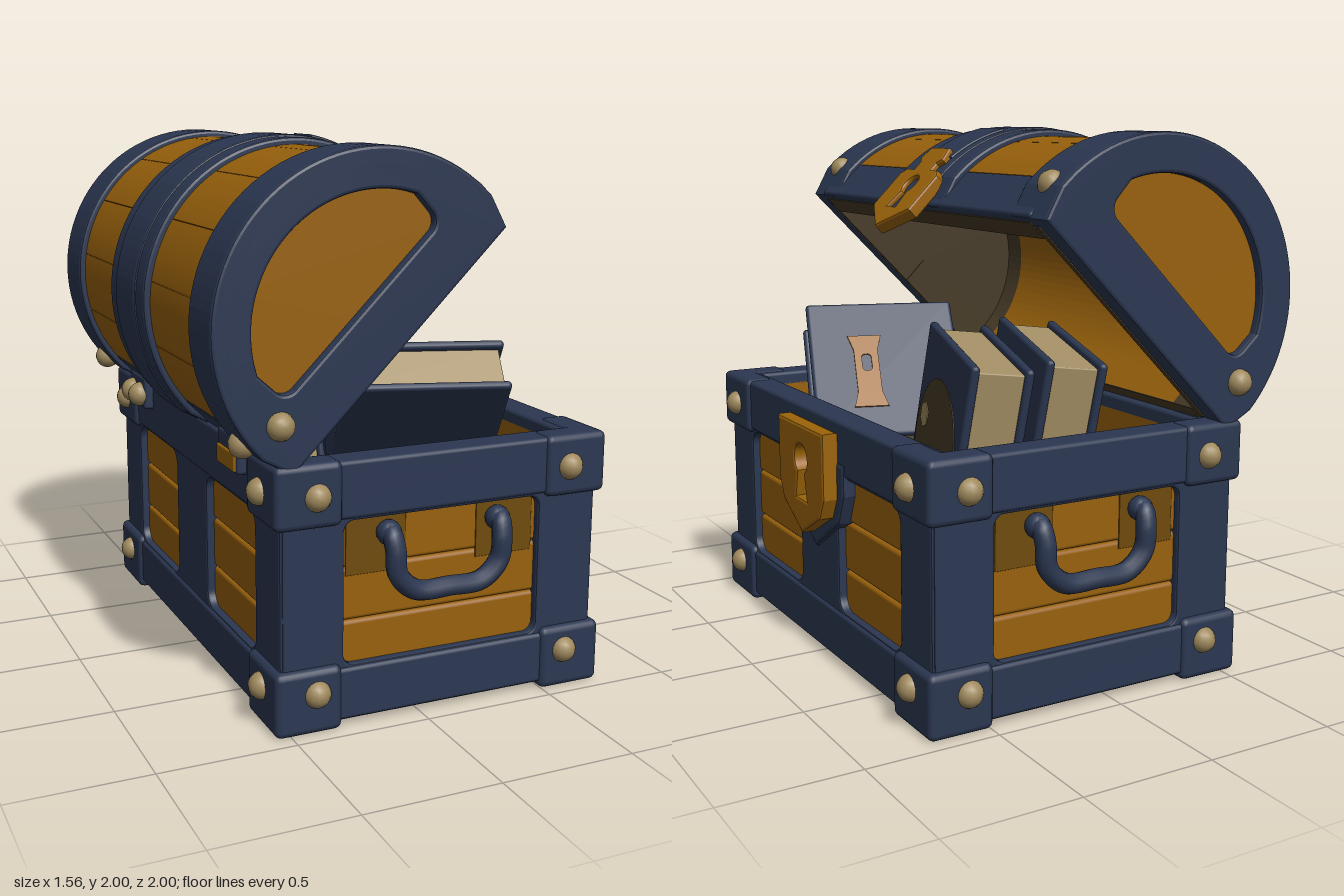
import * as THREE from 'three';
import { RoundedBoxGeometry } from 'three/addons/geometries/RoundedBoxGeometry.js';

const paint = (name, color) => {
  const m = new THREE.MeshStandardMaterial({ color });
  m.name = name;
  return m;
};

export function createModel() {
  const blue = paint('blue metal', 0x2b3751), wood = paint('wood', 0x98610c);
  const gold = paint('gold lock', 0x9c6409), tan = paint('stud tan', 0x9f895d);
  const page = paint('paper', 0xa59066), stained = paint('stained wood', 0x6f4b0d);
  const dusky = paint('dusky brown', 0x463a27);

  const add = (parent, name, geo, mat, x = 0, y = 0, z = 0) => {
    const m = new THREE.Mesh(geo, mat);
    m.name = name;
    m.position.set(x, y, z);
    parent.add(m);
    return m;
  };
  const group = (parent, name) => {
    const g = new THREE.Group();
    g.name = name;
    parent.add(g);
    return g;
  };
  // rounded box given by its min and max corners
  const box = (parent, name, mat, x0, x1, y0, y1, z0, z1, r = 0.015) =>
    add(parent, name, new RoundedBoxGeometry(x1 - x0, y1 - y0, z1 - z0, 2, r), mat,
      (x0 + x1) / 2, (y0 + y1) / 2, (z0 + z1) / 2);
  const extrude = (shape, depth, bevel = 0) => new THREE.ExtrudeGeometry(shape, {
    depth: depth - 2 * bevel, bevelEnabled: bevel > 0, bevelSize: bevel, bevelOffset: -bevel,
    bevelThickness: bevel, bevelSegments: 2, curveSegments: 24 }).translate(0, 0, bevel);
  const stud = (parent, x, y, z) => add(parent, 'stud', new THREE.SphereGeometry(0.05, 14, 10), tan, x, y, z);
  const roundRect = (x0, x1, y0, y1, r) => {
    const p = new THREE.Path();
    p.absarc(x1 - r, y0 + r, r, -Math.PI / 2, 0);
    p.absarc(x1 - r, y1 - r, r, 0, Math.PI / 2);
    p.absarc(x0 + r, y1 - r, r, Math.PI / 2, Math.PI);
    p.absarc(x0 + r, y0 + r, r, Math.PI, Math.PI * 1.5);
    p.closePath();
    return p;
  };
  const poly = (pts) => new THREE.Shape(pts.map(([x, y]) => new THREE.Vector2(x, y)));
  const keyhole = (y, s) => {
    const p = new THREE.Path();
    p.absarc(0, y, 0.056 * s, -1.1, Math.PI + 1.1);
    p.lineTo(-0.05 * s, y - 0.155 * s);
    p.lineTo(0.05 * s, y - 0.155 * s);
    p.closePath();
    return p;
  };
  const span = (k, a, b) => k > 0 ? [a, b] : [-b, -a];

  const model = group(new THREE.Group(), 'treasureChest');

  // ---- base ----
  const base = group(model, 'base');
  base.position.x = 0.09;
  box(base, 'underside', wood, -0.56, 0.56, 0.03, 0.09, -0.86, 0.86);
  box(base, 'floor', stained, -0.53, 0.53, 0.08, 0.12, -0.83, 0.83);
  add(base, 'floorPatch', new THREE.CylinderGeometry(0.2, 0.2, 0.008, 24), wood, 0.36, 0.122, 0);
  for (const s of [-1, 1]) {
    const wall = (name, mat, a, b, y0, y1, half) => box(base, name, mat, ...span(s, a, b), y0, y1, -half, half);
    const end = (name, mat, a, b, y0, y1, half) => box(base, name, mat, -half, half, y0, y1, ...span(s, a, b));
    // wall cores with planks in front
    wall('sideWall', stained, 0.535, 0.575, 0.05, 0.92, 0.88);
    end('endWall', stained, 0.835, 0.875, 0.05, 0.92, 0.57);
    wall('innerSideWall', wood, 0.515, 0.545, 0.05, 0.92, 0.84);
    end('innerEndWall', wood, 0.815, 0.845, 0.05, 0.92, 0.54);
    [[0.18, 0.37], [0.373, 0.563], [0.566, 0.77]].forEach(([a, b]) => {
      wall('sidePlank', wood, 0.555, 0.592, a, b, 0.85);
      end('endPlank', wood, 0.855, 0.895, a, b, 0.55);
    });
    // metal frames with rounded openings
    const long = poly([[-0.92, 0.02], [0.92, 0.02], [0.92, 0.95], [-0.92, 0.95]]);
    long.holes.push(roundRect(0.18, 0.69, 0.22, 0.74, 0.06), roundRect(-0.69, -0.18, 0.22, 0.74, 0.06));
    add(base, 'sideFrame', extrude(long, 0.05, 0.01), blue, s * 0.573, 0, 0).rotation.y = s * Math.PI / 2;
    const short = poly([[-0.615, 0.02], [0.615, 0.02], [0.615, 0.95], [-0.615, 0.95]]);
    short.holes.push(roundRect(-0.385, 0.385, 0.22, 0.74, 0.04));
    add(base, 'endFrame', extrude(short, 0.05, 0.01), blue, 0, 0, s * 0.875).rotation.y = s > 0 ? 0 : Math.PI;
    // rims
    for (const [y0, y1] of [[0.025, 0.215], [0.75, 0.955]]) {
      wall('sideRim', blue, 0.59, 0.633, y0, y1, 0.93);
      end('endRim', blue, 0.885, 0.937, y0, y1, 0.63);
    }
    wall('sideLedge', blue, 0.515, 0.632, 0.885, 0.955, 0.93);
    end('endLedge', blue, 0.815, 0.937, 0.885, 0.955, 0.62);
    wall('sideFoot', blue, 0.44, 0.62, 0.015, 0.06, 0.92);
    end('endFoot', blue, 0.74, 0.92, 0.015, 0.06, 0.61);
    // corner caps and studs
    for (const t of [-1, 1]) {
      for (const [y0, y1, ys] of [[0, 0.235, 0.145], [0.735, 0.962, 0.845]]) {
        const cap = group(base, 'cornerCap');
        box(cap, 'capSide', blue, ...span(s, 0.53, 0.648), y0, y1, ...span(t, 0.67, 0.952), 0.025);
        box(cap, 'capEnd', blue, ...span(s, 0.4, 0.648), y0, y1, ...span(t, 0.83, 0.952), 0.025);
        if (y0 === 0) box(cap, 'capFoot', blue, ...span(s, 0.4, 0.648), 0, 0.07, ...span(t, 0.67, 0.952), 0.025);
        stud(base, s * 0.642, ys, t * 0.8);
        stud(base, s * 0.495, ys, t * 0.942);
      }
    }
    // carrying handle with stained wood behind its mounts
    const path = new THREE.CatmullRomCurve3([[-0.215, 0.68, 0.88], [-0.215, 0.68, 0.94], [-0.21, 0.63, 0.962],
      [-0.2, 0.54, 0.962], [-0.13, 0.475, 0.962], [0, 0.47, 0.962], [0.13, 0.475, 0.962], [0.2, 0.54, 0.962],
      [0.21, 0.63, 0.962], [0.215, 0.68, 0.94], [0.215, 0.68, 0.88]].map(([x, y, z]) => new THREE.Vector3(x, y, s * z)));
    add(base, 'handle', new THREE.TubeGeometry(path, 60, 0.037, 10), blue);
    for (const t of [-1, 1]) {
      add(base, 'handleMount', new THREE.SphereGeometry(0.046, 12, 8), blue, t * 0.215, 0.68, s * 0.92);
      box(base, 'handleStain', stained, ...span(t, 0.14, 0.37), 0.535, 0.76, s * 0.896 - 0.003, s * 0.896 + 0.003, 0.002);
    }
    box(base, 'hinge', blue, -0.67, -0.62, 0.86, 1.0, s * 0.55 - 0.1, s * 0.55 + 0.1);
  }
  for (const t of [-0.6, -0.5]) stud(base, -0.675, 0.92, t);
  box(base, 'backCatch', gold, -0.678, -0.66, 0.87, 0.94, 0.46, 0.64, 0.008);
  box(base, 'bottomStrap', blue, -0.5, 0.5, 0.015, 0.06, -0.18, 0.18);

  // front lock on its shield
  const shield = (w, y0, y1, y2) => poly([[-w, y2], [-w, y1], [-w * 0.82, y1 - (y1 - y0) * 0.45], [0, y0],
    [w * 0.82, y1 - (y1 - y0) * 0.45], [w, y1], [w, y2]]);
  const lock = shield(0.215, 0.485, 0.66, 0.91);
  lock.holes.push(keyhole(0.775, 1));
  add(base, 'lockShield', extrude(shield(0.27, 0.425, 0.68, 0.8), 0.07, 0.015), blue, 0.57).rotation.y = Math.PI / 2;
  add(base, 'lockPlate', extrude(lock, 0.065, 0.012), gold, 0.63).rotation.y = Math.PI / 2;
  box(base, 'keyholeBack', blue, 0.634, 0.642, 0.58, 0.86, -0.09, 0.09, 0.002);

  // ---- lid, hinged open by 45 degrees ----
  const lid = group(model, 'lid');
  lid.position.set(-0.095, 1.32, 0);
  lid.rotation.z = Math.PI / 4;
  const C = 0.12;
  // outer outline of the lid section, slightly drawn in at the foot
  const dome = (ro) => {
    const s = new THREE.Shape();
    s.moveTo(ro - 0.035, 0);
    s.lineTo(ro, C);
    s.absarc(0, C, ro, 0, Math.PI);
    s.lineTo(-ro + 0.035, 0);
    return s;
  };
  const arch = (ro, ri) => {
    const s = dome(ro);
    s.lineTo(-ri, 0);
    s.absarc(0, C, ri, Math.PI, 0, true);
    s.lineTo(ri, 0);
    s.closePath();
    return s;
  };
  const sector = (ro, ri, a, b) => {
    const s = new THREE.Shape();
    s.absarc(0, C, ro, a, b);
    s.absarc(0, C, ri, b, a, true);
    s.closePath();
    return s;
  };
  const band = (name, mat, ro, ri, z0, z1, bevel = 0.012) =>
    add(lid, name, extrude(arch(ro, ri), z1 - z0, bevel), mat, 0, 0, z0);
  band('lidLining', wood, 0.54, 0.455, -0.72, 0.72, 0);
  band('middleBand', blue, 0.592, 0.52, -0.22, 0.22);
  band('middleBandRidge', blue, 0.6, 0.55, -0.125, 0.125);
  for (let i = 0; i < 7; i++)
    add(lid, 'lidPlank', extrude(sector(0.566, 0.52, 0.1 + i * 0.42, 0.516 + i * 0.42), 1.6, 0.005), wood, 0, 0, -0.8);
  for (const s of [-1, 1]) {
    box(lid, 'edgeRail', blue, ...span(s, 0.5, 0.566), 0, 0.18, -0.85, 0.85);
    box(lid, 'rimUnderside', dusky, ...span(s, 0.455, 0.535), -0.004, 0.002, -0.83, 0.83, 0.002);
    band('endBand', blue, 0.59, 0.52, ...span(s, 0.715, 0.945));
    band('duskyLining', dusky, 0.54, 0.455, ...span(s, 0.72, 0.85), 0);
    add(lid, 'duskyCorner', extrude(sector(0.458, 0.451, 1.2, 2.0), 0.18), dusky, 0, 0, s > 0 ? 0.55 : -0.73);
    // end face with a half-round wood panel
    const face = dome(0.583);
    face.closePath();
    const hole = new THREE.Path();
    hole.absarc(-0.345, 0.25, 0.05, Math.PI, Math.PI * 1.5);
    hole.absarc(0.345, 0.25, 0.05, -Math.PI / 2, 0);
    hole.absarc(0, C, 0.45, 0.48, Math.PI - 0.48);
    hole.closePath();
    face.holes.push(hole);
    add(lid, 'endFace', extrude(face, 0.09, 0.012), blue, 0, 0, s > 0 ? 0.855 : -0.945);
    const panel = sector(0.51, 0.001, 0, Math.PI);
    add(lid, 'endPanel', extrude(panel, 0.06), wood, 0, 0, s > 0 ? 0.85 : -0.91);
    add(lid, 'innerEnd', extrude(arch(0.53, 0.001), 0.025), dusky, 0, 0, s > 0 ? 0.83 : -0.855);
    stud(lid, -0.467, 0.155, s * 0.942);
    stud(lid, 0.57, 0.14, s * 0.84);
    stud(lid, -0.585, 0.17, s * 0.84);
  }
  // clasp hanging from the middle band
  const clasp = poly([[0, -0.165], [0.15, -0.07], [0.15, 0.1], [0.125, 0.125], [0.065, 0.125], [0.065, 0.16], [0.09, 0.18],
    [0.07, 0.24], [-0.07, 0.24], [-0.09, 0.18], [-0.065, 0.16], [-0.065, 0.125], [-0.125, 0.125], [-0.15, 0.1], [-0.15, -0.07]]);
  clasp.holes.push(keyhole(0.05, 0.75));
  add(lid, 'clasp', extrude(clasp, 0.055, 0.01), gold, 0.567).rotation.y = Math.PI / 2;
  box(lid, 'claspKeyholeBack', blue, 0.594, 0.602, -0.1, 0.11, -0.06, 0.06, 0.002);
  add(lid, 'claspBracket', extrude(sector(0.609, 0.55, 0.15, 0.58), 0.18, 0.008), blue, 0, 0, -0.09);

  // ---- books: w across, h up, cover normal n = w x h ----
  const books = group(model, 'books');
  const book = (name, pos, w, h, size, spineDown) => {
    const g = group(books, name);
    const W = new THREE.Vector3(...w).normalize(), N = W.clone().cross(new THREE.Vector3(...h)).normalize();
    g.quaternion.setFromRotationMatrix(new THREE.Matrix4().makeBasis(W, N.clone().cross(W), N));
    g.position.set(...pos);
    const [a, b, t] = size.map((v) => v / 2);
    for (const s of [-1, 1]) box(g, 'cover', blue, -a, a, -b, b, ...span(s, t - 0.032, t));
    box(g, 'pages', page, -a + 0.02, a - 0.02, -b + 0.03, b - 0.025, -t + 0.02, t - 0.02, 0.005);
    if (spineDown) box(g, 'spine', blue, -a, a, -b, -b + 0.035, -t, t);
    else box(g, 'spine', blue, -a, -a + 0.035, -b, b, -t, t);
    return g;
  };
  const leaning = book('leaningBook', [0.22, 0.955, 0.43], [0.95, 0, 0.3], [-0.2, 0.75, 0.63], [0.62, 0.64, 0.22]);
  const clip = poly([[-0.07, -0.17], [0.07, -0.17], [0.05, -0.1], [0.05, 0.1], [0.07, 0.17], [-0.07, 0.17], [-0.05, 0.1], [-0.05, -0.1]]);
  clip.holes.push(roundRect(-0.02, 0.02, 0, 0.08, 0.015));
  add(leaning, 'coverClasp', extrude(clip, 0.008), gold, 0.08, -0.02, -0.117);
  const W = [0.23, -0.137, -0.96], H = [-0.08, 0.97, -0.158];
  const front = book('frontBook', [0.315, 0.897, -0.447], W, H, [0.58, 0.7, 0.23], true);
  const stain = add(front, 'coverStain', new THREE.CylinderGeometry(0.25, 0.25, 0.006, 32), dusky, -0.01, -0.05, 0.115);
  stain.rotation.x = Math.PI / 2;
  add(front, 'coverEmblem', new THREE.CylinderGeometry(0.05, 0.05, 0.008, 6), tan, -0.17, 0.02, 0.117).rotation.x = Math.PI / 2;
  book('rearBook', [0.035, 0.899, -0.48], W, H, [0.58, 0.7, 0.23], true);

  return model;
}
